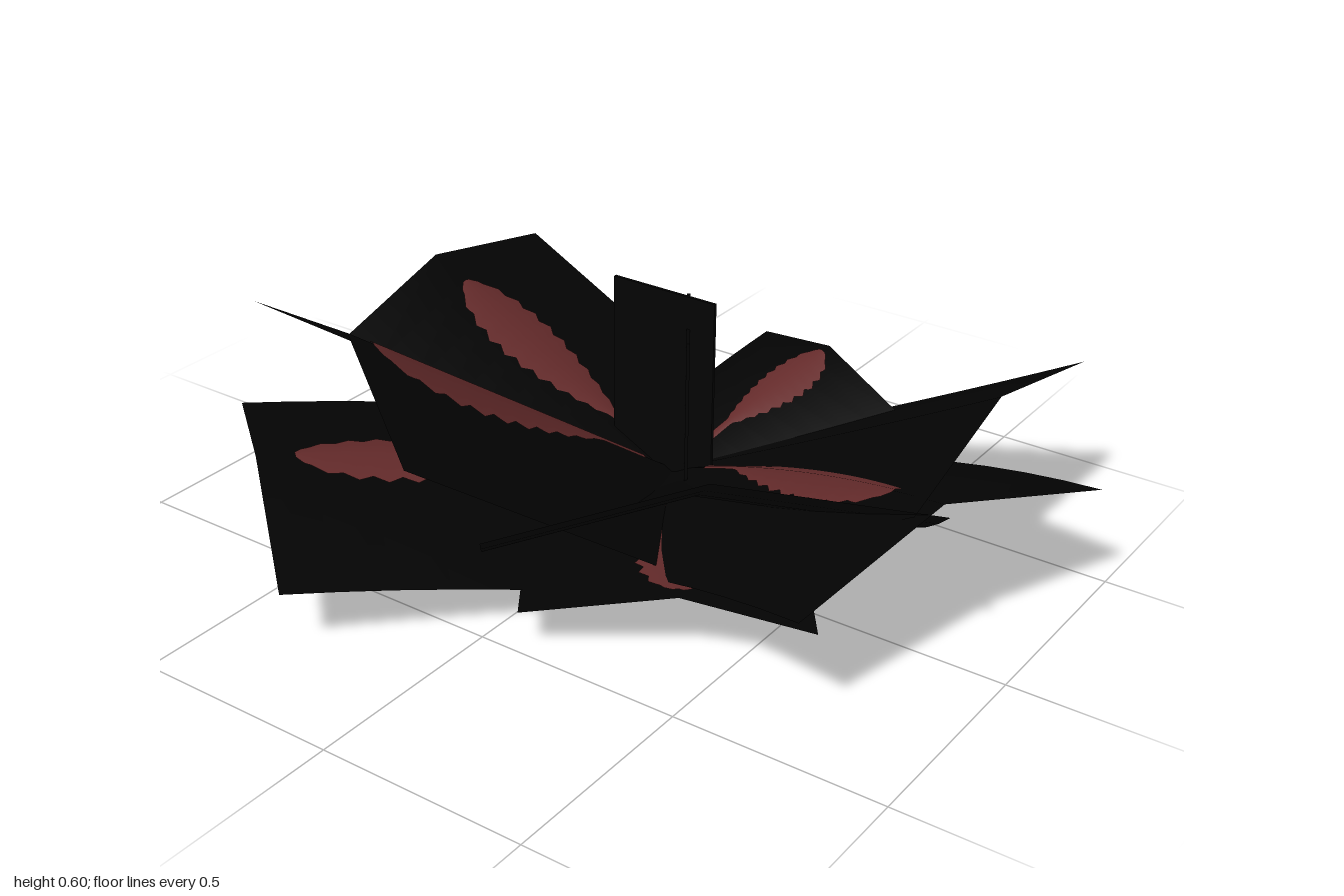
import * as THREE from 'three';

const black = new THREE.MeshStandardMaterial({ color: 0x030303, side: THREE.DoubleSide });
black.name = 'near black';
const red = new THREE.MeshStandardMaterial({ color: 0x652b2b, side: THREE.DoubleSide });
red.name = 'dull red';

const hub = new THREE.Vector3(0, 0.09, -0.23);

// Folded sheet: rows along the leaf, three points across each row
function sheet(point, rows, name, material) {
  const pos = [], index = [];
  for (let i = 0; i <= rows; i++) {
    for (let j = -1; j <= 1; j++) pos.push(...point(j, i / rows).toArray());
  }
  for (let i = 0; i < rows; i++) {
    for (let j = 0; j < 2; j++) {
      const a = i * 3 + j;
      index.push(a, a + 1, a + 3, a + 1, a + 4, a + 3);
    }
  }
  const g = new THREE.BufferGeometry();
  g.setAttribute('position', new THREE.Float32BufferAttribute(pos, 3));
  g.setIndex(index);
  g.computeVertexNormals();
  const mesh = new THREE.Mesh(g, material);
  mesh.name = name;
  return mesh;
}

// A leaf runs from the hub to a tip edge (left, ridge, right); sides droop from the ridge
function leaf({ name, tip, bend = 0, blade = 0, from = 0.1, to = 0.85 }) {
  const [left, ridge, right] = tip.map((p) => new THREE.Vector3(...p));
  const surface = (u, t) => {
    const edge = u < 0 ? left : right;
    const side = edge.clone().sub(ridge).multiplyScalar(Math.abs(u));
    const p = hub.clone().lerp(ridge, t).add(side);
    p.y = Math.max(0, p.y + bend * 4 * t * (1 - t));
    return p;
  };
  const group = new THREE.Group();
  group.name = name;
  group.add(sheet(surface, 8, 'leafSheet', black));
  if (blade) {
    const half = left.distanceTo(right) / 2;
    // Scalloped blade on a narrow stalk, broadest towards the tip
    const width = (s) => {
      const k = Math.max(0, (s - 0.15) / 0.85);
      const body = Math.sqrt(Math.max(0, Math.sin(Math.PI * Math.pow(k, 1.6))));
      const scallop = 1 + 0.1 * Math.cos(s * Math.PI * 24);
      return Math.max(0.012, blade * body * scallop) / half;
    };
    for (const lift of [0.004, -0.004]) {
      const point = (j, s) => {
        const p = surface(j * width(s), from + (to - from) * s);
        p.y += lift;
        return p;
      };
      group.add(sheet(point, 48, 'leafBlade', red));
    }
  }
  return group;
}

const leaves = [
  // Upper tier
  { name: 'upperFrontLeaf', blade: 0.115, to: 0.93,
    tip: [[-0.83, 0.505, 0.3], [-0.39, 0.6, 0.45], [0, 0.51, 0.72]] },
  { name: 'upperFrontSideLeaf', bend: -0.05,
    tip: [[0.18, 0.4, 0.71], [0.5, 0.49, 0.38], [0.88, 0.4, 0.08]] },
  { name: 'upperSideLeaf', bend: -0.005,
    tip: [[0.82, 0.4, 0.12], [0.79, 0.485, -0.31], [0.79, 0.395, -0.75]] },
  { name: 'upperOuterLeaf', blade: 0.09, to: 0.87,
    tip: [[-0.74, 0.38, -0.65], [-0.735, 0.46, -0.24], [-0.71, 0.38, 0.12]] },
  // Middle tier
  { name: 'middleSideLeaf', bend: 0.03, blade: 0.095, from: 0.14, to: 0.84,
    tip: [[0.75, 0.29, 0.44], [0.86, 0.42, 0.07], [1, 0.28, -0.41]] },
  { name: 'middleBackLeaf', bend: 0.01, blade: 0.07, from: 0.2, to: 0.95,
    tip: [[0.42, 0.21, -0.58], [0.15, 0.28, -0.69], [-0.1, 0.21, -0.8]] },
  // Lower tier
  { name: 'lowerFrontLeaf', bend: 0.02, blade: 0.1, to: 0.91,
    tip: [[-1, 0.15, 0.21], [-0.65, 0.24, 0.505], [-0.3, 0.15, 0.8]] },
  { name: 'lowerBackLeaf', blade: 0.07,
    tip: [[-0.51, 0.09, -0.77], [-0.63, 0.17, -0.52], [-0.74, 0.1, -0.28]] },
  { name: 'lowerFrontSideLeaf', blade: 0.08, to: 0.95,
    tip: [[0.1, 0.1, 0.5], [0.41, 0.175, 0.35], [0.66, 0.1, 0.2]] },
];

export function createModel() {
  const model = new THREE.Group();
  model.name = 'plant';
  for (const spec of leaves) model.add(leaf(spec));

  // Crossed upright cards for the stem
  const stem = (name, width, height, x, z, turn) => {
    const mesh = new THREE.Mesh(new THREE.BoxGeometry(width, height, 0.008), black);
    mesh.name = name;
    mesh.position.set(x, height / 2, z);
    mesh.rotation.y = turn;
    model.add(mesh);
  };
  stem('stemCard', 0.28, 0.56, -0.02, -0.212, 0);
  stem('crossStemCard', 0.28, 0.48, 0.015, -0.26, -0.98);
  return model;
}
